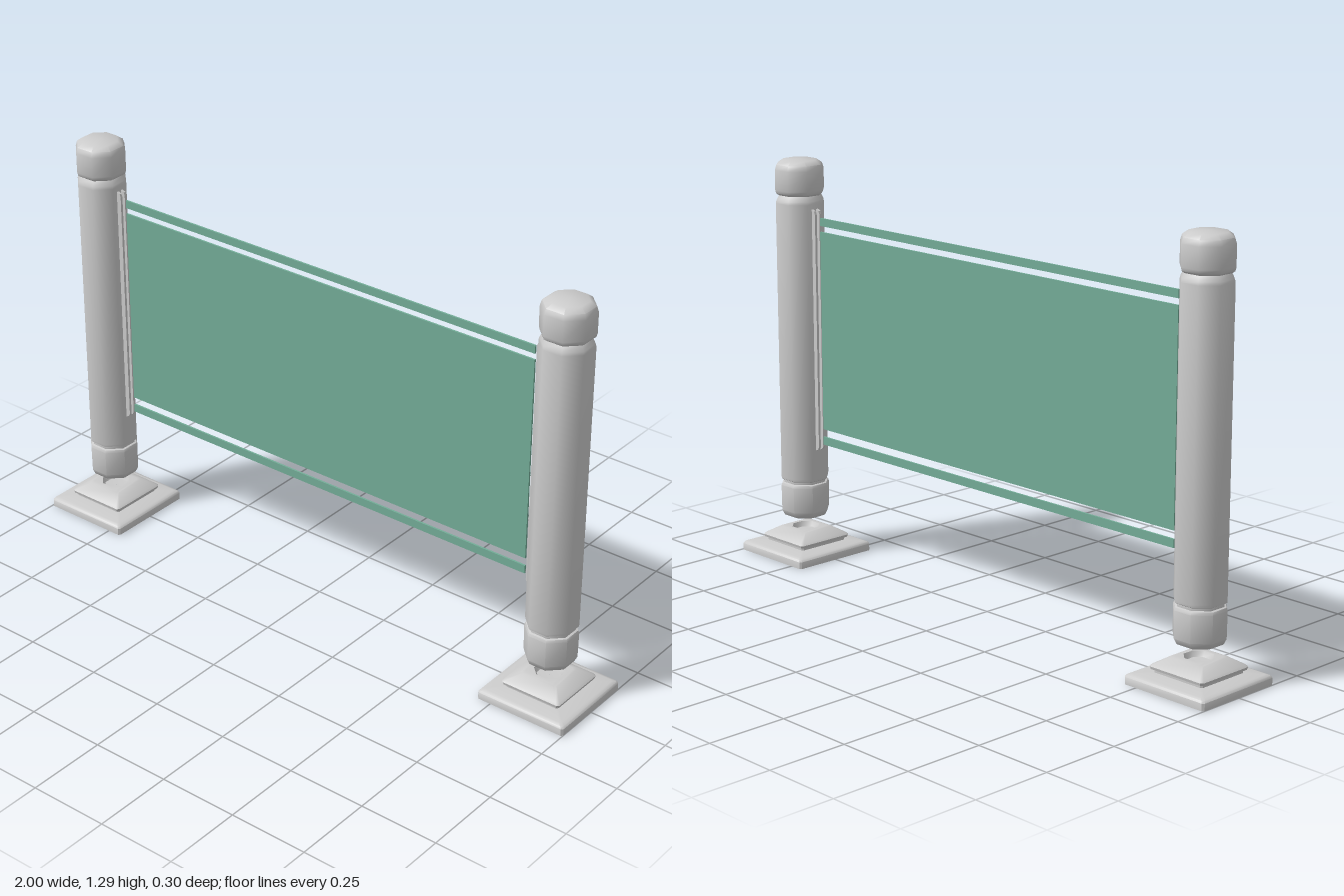
import * as THREE from 'three';
import { toCreasedNormals } from 'three/addons/utils/BufferGeometryUtils.js';

const grey = new THREE.MeshStandardMaterial({ color: 0xcccccc });
const greyThin = new THREE.MeshStandardMaterial({ color: 0xcccccc, side: THREE.DoubleSide });
const green = new THREE.MeshStandardMaterial({ color: 0x74ad98 });
const OCT = Math.SQRT2 - 1;

// Stacks eight-cornered rings [halfWidth, y, cut]; cut = OCT is a regular octagon, near 1 a square
function stack(rings, crease) {
  const pos = [], index = [];
  for (const [r, y, cut = OCT] of rings) {
    const c = r * cut;
    for (const [x, z] of [[r, c], [c, r], [-c, r], [-r, c], [-r, -c], [-c, -r], [c, -r], [r, -c]]) pos.push(x, y, z);
  }
  for (let i = 0; i < rings.length - 1; i++) {
    for (let k = 0; k < 8; k++) {
      const a = i * 8 + k, b = i * 8 + (k + 1) % 8;
      index.push(a, a + 8, b, b, a + 8, b + 8);
    }
  }
  const g = new THREE.BufferGeometry();
  g.setAttribute('position', new THREE.Float32BufferAttribute(pos, 3));
  g.setIndex(index);
  return toCreasedNormals(g, crease);
}

function add(parent, name, geometry, material, x = 0, y = 0, z = 0) {
  const mesh = new THREE.Mesh(geometry, material);
  mesh.name = name;
  mesh.position.set(x, y, z);
  parent.add(mesh);
  return mesh;
}

export function createModel() {
  const model = new THREE.Group();
  model.name = 'barrier';

  // Octagonal post with a grooved foot and a rounded cap
  const postGeo = stack([
    [0.0005, 0.12], [0.048, 0.12], [0.065, 0.128], [0.073, 0.145], [0.074, 0.228],
    [0.071, 0.236], [0.065, 0.238], [0.065, 0.246], [0.072, 0.25], [0.073, 0.258],
    [0.073, 1.15], [0.071, 1.16], [0.063, 1.175], [0.071, 1.181], [0.074, 1.192],
    [0.074, 1.255], [0.069, 1.272], [0.052, 1.285], [0.0005, 1.287],
  ], 0.85);

  // Hollow two-step square foot with a shallow socket in its top
  const footGeo = stack([
    [0.148, 0, 0.96], [0.148, 0.022, 0.96], [0.144, 0.028, 0.95], [0.133, 0.032, 0.95],
    [0.09, 0.036, 0.94], [0.09, 0.044, 0.94], [0.098, 0.046, 0.93], [0.1, 0.054, 0.93],
    [0.094, 0.06, 0.92], [0.06, 0.082, 0.88], [0.052, 0.084, 0.85],
    [0.042, 0.084], [0.034, 0.068], [0.0005, 0.066],
  ], 0.7);

  // Slot strip with its outer edge trimmed at both ends
  const strip = new THREE.Shape([
    [0, 0.35], [0.016, 0.358], [0.02, 0.366], [0.02, 1.12], [0.016, 1.13], [0, 1.138],
  ].map(([x, y]) => new THREE.Vector2(x, y)));
  const stripGeo = new THREE.ExtrudeGeometry(strip, { depth: 0.008, bevelEnabled: false });

  for (const side of [-1, 1]) {
    const stand = new THREE.Group();
    stand.name = side > 0 ? 'leftStand' : 'rightStand';
    stand.position.x = side * 0.852;
    // Turned half way round so the slot always faces the panel
    stand.rotation.y = side > 0 ? Math.PI : 0;
    add(stand, 'post', postGeo, grey);
    add(stand, 'foot', footGeo, greyThin);
    add(stand, 'slotStripFront', stripGeo, grey, 0.068, 0, 0.005);
    add(stand, 'slotStripBack', stripGeo, grey, 0.068, 0, -0.013);
    model.add(stand);
  }

  // Thin panel with a narrow band above and below
  for (const [name, low, high] of [
    ['panel', 0.427, 1.067], ['upperBand', 1.086, 1.111], ['lowerBand', 0.376, 0.402],
  ]) {
    add(model, name, new THREE.BoxGeometry(1.504, high - low, 0.006), green, 0, (low + high) / 2, 0);
  }
  return model;
}
